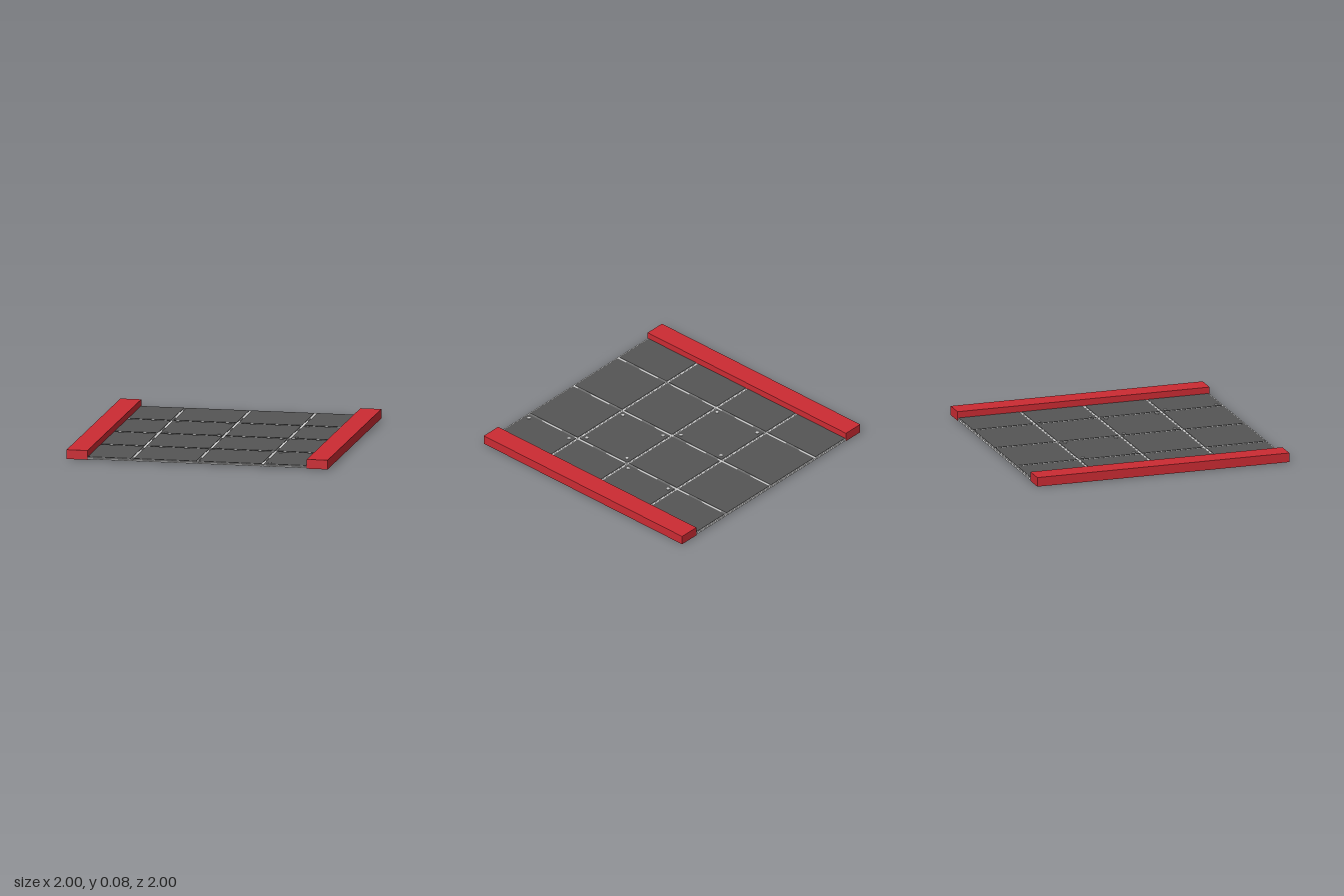
import * as THREE from 'three';

const grey = new THREE.MeshStandardMaterial({ color: 0xcccccc, flatShading: true });
const dark = new THREE.MeshStandardMaterial({ color: 0x555555 });
const red = new THREE.MeshStandardMaterial({ color: 0xcc2b33 });

function add(parent, name, geometry, material, x, y, z) {
  const mesh = new THREE.Mesh(geometry, material);
  mesh.name = name;
  mesh.position.set(x, y, z);
  parent.add(mesh);
  return mesh;
}

// Square core with a V groove around its edge, from [half width, height] rings
function coreGeometry() {
  const rings = [[0, 0.009], [0.2495, 0.009], [0.2495, 0.011], [0.242, 0.016],
    [0.2495, 0.021], [0.2495, 0.023], [0, 0.023]];
  const profile = rings.map(([half, y]) => new THREE.Vector2(half * Math.SQRT2, y));
  return new THREE.LatheGeometry(profile, 4, Math.PI / 4);
}

export function createModel() {
  const model = new THREE.Group();
  model.name = 'floorPanel';

  const core = coreGeometry();
  const skin = new THREE.BoxGeometry(0.48, 0.004, 0.48);
  const screw = new THREE.CylinderGeometry(0.013, 0.013, 0.03, 16);
  const centres = [-0.75, -0.25, 0.25, 0.75];
  const screwed = [[1, 1], [3, 1], [2, 2], [3, 3]]; // column, row

  // Tiles: pale core between two dark skins
  centres.forEach((x, column) => centres.forEach((z, row) => {
    const tile = new THREE.Group();
    tile.name = 'tile';
    tile.position.set(x, 0, z);
    model.add(tile);
    add(tile, 'tileCore', core, grey, 0, 0, 0);
    add(tile, 'topSkin', skin, dark, 0, 0.024, 0);
    add(tile, 'bottomSkin', skin, dark, 0, 0.008, 0);

    // Corner screws on some of the tiles
    if (screwed.some(([c, r]) => c === column && r === row)) {
      for (const sx of [-0.2025, 0.2025]) {
        for (const sz of [-0.2025, 0.2025]) add(tile, 'screw', screw, grey, sx, 0.015, sz);
      }
    }
  }));

  // Raised side beams enclosing the outer tile edges
  const beam = new THREE.BoxGeometry(0.16, 0.071, 2);
  add(model, 'leftBeam', beam, red, 0.92, 0.0395, 0);
  add(model, 'rightBeam', beam, red, -0.92, 0.0395, 0);

  return model;
}
